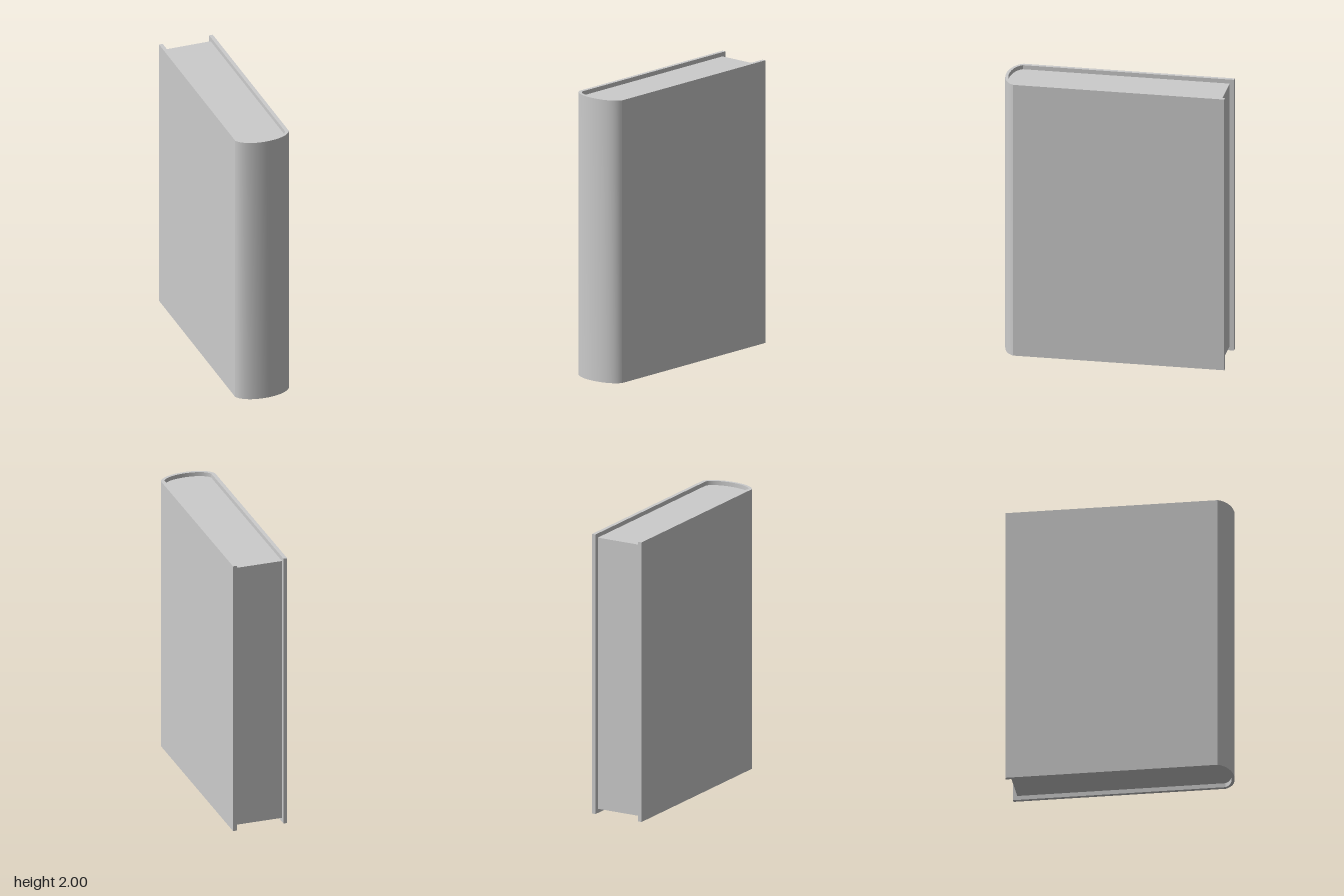
import * as THREE from 'three';
import { toCreasedNormals } from 'three/addons/utils/BufferGeometryUtils.js';

const material = new THREE.MeshStandardMaterial({ color: 0xcccccc });
const SHOULDER = 0.69; // z where the rounded spine begins

// Extrude a plan outline (drawn in x, -z) upwards from y0 to y1
function slab(name, shape, y0, y1) {
  const geometry = new THREE.ExtrudeGeometry(shape, { depth: y1 - y0, bevelEnabled: false, curveSegments: 24 });
  geometry.rotateX(-Math.PI / 2).translate(0, y0, 0);
  const mesh = new THREE.Mesh(toCreasedNormals(geometry, 0.3), material);
  mesh.name = name;
  return mesh;
}

// Draw the rounded front, from side x = -w*dir to x = w*dir
function roundFront(shape, w, bulge, dir) {
  const cx = w * 0.73, cz = SHOULDER + bulge / 0.75;
  shape.bezierCurveTo(-cx * dir, -cz, cx * dir, -cz, w * dir, -SHOULDER);
}

export function createModel() {
  const book = new THREE.Group();
  book.name = 'book';
  const outer = 0.197, inner = 0.17, back = -0.78, pageBack = -0.75, inset = 0.03;

  // Cover: both boards and the rounded spine in one U-shaped outline
  const cover = new THREE.Shape();
  cover.moveTo(-outer, -back);
  cover.lineTo(-outer, -SHOULDER);
  roundFront(cover, outer, 0.086, 1);
  cover.lineTo(outer, -back);
  cover.lineTo(inner, -back);
  cover.lineTo(inner, -SHOULDER);
  roundFront(cover, inner, 0.065, -1);
  cover.lineTo(-inner, -back);
  cover.closePath();
  book.add(slab('cover', cover, 0, 2));

  // Page block, set in from the cover at top, bottom and back
  const pages = new THREE.Shape();
  pages.moveTo(-inner, -pageBack);
  pages.lineTo(-inner, -SHOULDER);
  roundFront(pages, inner, 0.065, 1);
  pages.lineTo(inner, -pageBack);
  pages.closePath();
  book.add(slab('pages', pages, inset, 2 - inset));

  return book;
}
